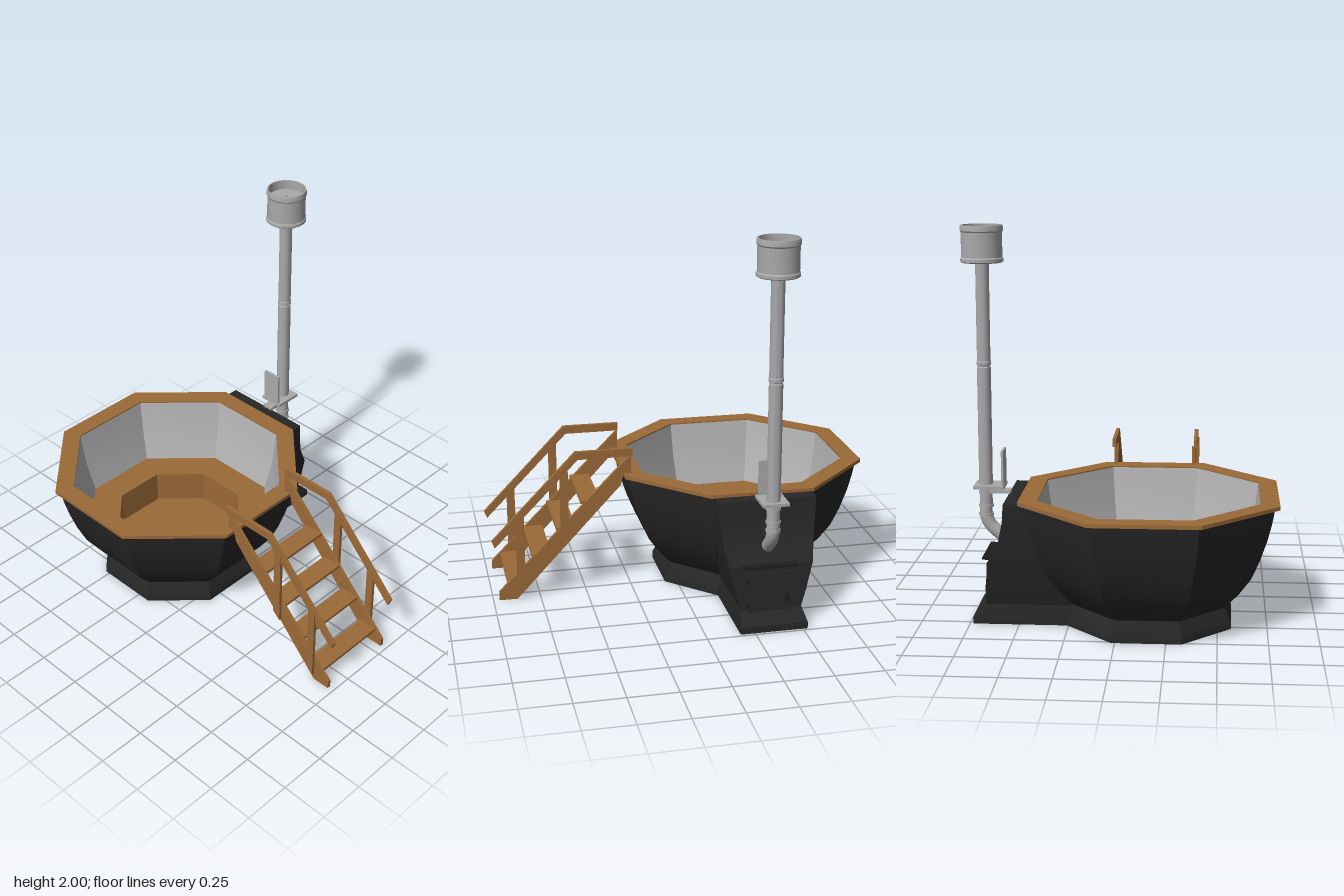
import * as THREE from 'three';
import { toCreasedNormals } from 'three/addons/utils/BufferGeometryUtils.js';

const material = (name, color) => {
  const m = new THREE.MeshStandardMaterial({ color });
  m.name = name;
  return m;
};

export function createModel() {
  const wood = material('wood', 0x9b6a38);
  const shell = material('black shell', 0x272727);
  const iron = material('dark iron', 0x1d1d1d);
  const liner = material('grey liner', 0xb4b4b4);
  const steel = material('steel', 0xa9a9a9);

  const model = new THREE.Group();
  model.name = 'hotTub';
  const CX = -0.155, CZ = -0.35;

  const add = (parent, name, geometry, mat, x = 0, y = 0, z = 0) => {
    const mesh = new THREE.Mesh(geometry, mat);
    mesh.name = name;
    mesh.position.set(x, y, z);
    parent.add(mesh);
    return mesh;
  };
  const box = (parent, name, mat, x0, x1, y0, y1, z0, z1) =>
    add(parent, name, new THREE.BoxGeometry(x1 - x0, y1 - y0, z1 - z0), mat,
      (x0 + x1) / 2, (y0 + y1) / 2, (z0 + z1) / 2);
  const group = (name) => {
    const g = new THREE.Group();
    g.name = name;
    model.add(g);
    return g;
  };

  // Eight-sided shells: profile points are [apothem, height]
  const octagon = (profile) => {
    const k = 1 / Math.cos(Math.PI / 8);
    const points = profile.map(([a, y]) => new THREE.Vector2(a * k, y));
    return toCreasedNormals(new THREE.LatheGeometry(points, 8, Math.PI / 8), 0.5);
  };
  const round = (profile, sides = 32) => toCreasedNormals(
    new THREE.LatheGeometry(profile.map(([r, y]) => new THREE.Vector2(r, y)), sides), 0.5);

  // Tub
  const tub = group('tub');
  tub.position.set(CX, 0, CZ);
  add(tub, 'outerShell', octagon([[0, 0], [0.415, 0], [0.415, 0.035], [0.38, 0.105], [0.45, 0.185],
    [0.508, 0.27], [0.55, 0.37], [0.585, 0.48], [0.607, 0.57], [0.62, 0.645]]), shell);
  add(tub, 'innerLiner', octagon([[0.55, 0.655], [0.525, 0.46], [0.485, 0.3]]), liner);
  add(tub, 'benchAndFloor', octagon([[0.487, 0.3], [0.33, 0.3], [0.33, 0.12], [0, 0.12]]), wood);
  add(tub, 'rim', octagon([[0.55, 0.643], [0.645, 0.643], [0.645, 0.662], [0.55, 0.662], [0.55, 0.643]]), wood);

  // Firebox housing lofted along the side of the tub: [height, inner x, outer x, half width]
  const sections = [[0, 0.2, 0.735, 0.175], [0.035, 0.2, 0.735, 0.175], [0.1, 0.2, 0.67, 0.157],
    [0.185, 0.27, 0.665, 0.183], [0.33, 0.35, 0.655, 0.218], [0.39, 0.38, 0.62, 0.229],
    [0.45, 0.4, 0.592, 0.238], [0.55, 0.43, 0.57, 0.25], [0.645, 0.45, 0.563, 0.256]];
  const pos = [], index = [];
  for (const [y, xi, xo, h] of sections) {
    pos.push(xi, y, CZ + h, xo, y, CZ + h, xo, y, CZ - h, xi, y, CZ - h);
  }
  for (let s = 0; s < sections.length - 1; s++) {
    for (let i = 0; i < 4; i++) {
      const a = s * 4 + i, b = s * 4 + (i + 1) % 4;
      index.push(a, b, b + 4, a, b + 4, a + 4);
    }
  }
  const top = (sections.length - 1) * 4;
  index.push(top, top + 1, top + 2, top, top + 2, top + 3, 0, 2, 1, 0, 3, 2);
  const housing = new THREE.BufferGeometry();
  housing.setAttribute('position', new THREE.Float32BufferAttribute(pos, 3));
  housing.setIndex(index);
  housing.computeVertexNormals();
  const firebox = group('firebox');
  add(firebox, 'fireboxHousing', toCreasedNormals(housing, 0.45), shell);

  // Firebox door, ledge and latch
  const door = box(firebox, 'fireDoor', shell, 0.655, 0.675, 0.09, 0.295, -0.46, -0.225);
  door.rotation.z = 0.04;
  box(firebox, 'doorLedge', iron, 0.64, 0.69, 0.325, 0.337, -0.485, -0.2);
  box(firebox, 'doorLatch', iron, 0.67, 0.682, 0.13, 0.18, -0.44, -0.422);
  const knob = add(firebox, 'latchKnob', new THREE.CylinderGeometry(0.014, 0.014, 0.014, 12), iron, 0.677, 0.155, -0.431);
  knob.rotation.z = Math.PI / 2;
  for (const y of [0.13, 0.255]) box(firebox, 'doorHinge', iron, 0.668, 0.68, y - 0.012, y + 0.012, -0.235, -0.22);

  // Chimney
  const chimney = group('chimney');
  chimney.position.set(0.686, 0, -0.345);
  add(chimney, 'flue', round([[0.035, 0.66], [0.035, 1.29], [0.031, 1.293], [0.031, 1.299], [0.037, 1.302],
    [0.037, 1.318], [0.034, 1.322], [0.034, 1.83]], 24), steel);
  add(chimney, 'chimneyCap', round([[0, 1.815], [0.1, 1.815], [0.107, 1.82], [0.107, 1.835], [0.102, 1.842],
    [0.102, 1.965], [0.107, 1.972], [0.107, 1.986], [0.104, 2], [0.097, 2], [0.097, 1.95], [0, 1.95]]), steel);
  add(chimney, 'capPin', new THREE.CylinderGeometry(0.005, 0.005, 0.012, 8), steel, 0, 1.955, 0);
  const elbow = new THREE.CatmullRomCurve3([[0, 0.67], [0, 0.6], [0, 0.52], [-0.02, 0.475],
    [-0.06, 0.435], [-0.12, 0.385]].map(([x, y]) => new THREE.Vector3(x, y, 0)));
  add(chimney, 'elbowPipe', new THREE.TubeGeometry(elbow, 20, 0.033, 20), steel);
  for (const y of [0.645, 0.575, 0.53]) {
    add(chimney, 'pipeCollar', new THREE.CylinderGeometry(0.038, 0.038, 0.012, 24), steel, 0, y, 0);
  }

  // Sliding damper
  box(chimney, 'damperFrame', steel, -0.1, 0.055, 0.672, 0.688, -0.068, 0.068);
  box(chimney, 'damperPlate', steel, -0.098, -0.086, 0.68, 0.868, -0.053, 0.053);
  box(chimney, 'damperSupport', steel, -0.13, 0.01, 0.643, 0.66, -0.03, 0.03);

  // Ladder: side profiles are [z, y], mirrored about the ladder's middle
  const ladder = group('ladder');
  const side = (name, profile, x0, x1) => {
    const shape = new THREE.Shape(profile.map(([z, y]) => new THREE.Vector2(z, y)));
    const geometry = new THREE.ExtrudeGeometry(shape, { depth: x1 - x0, bevelEnabled: false });
    add(ladder, name, geometry.rotateY(-Math.PI / 2), wood, x1);
  };
  const LX = -0.15;
  for (const s of [-1, 1]) {
    const part = (name, profile, a, b) =>
      side(name, profile, LX + Math.min(s * a, s * b), LX + Math.max(s * a, s * b));
    part('stringer', [[0.872, 0], [0.968, 0], [0.968, 0.045], [0.255, 0.765], [0.255, 0.66], [0.3, 0.643], [0.31, 0.6]],
      0.203, 0.222);
    part('handrail', [[0.25, 0.757], [0.54, 0.757], [0.985, 0.3], [1, 0.338], [0.553, 0.8], [0.25, 0.8]],
      0.212, 0.232);
    part('rearPost', [[0.593, 0.31], [0.636, 0.27], [0.636, 0.7], [0.593, 0.745]], 0.221, 0.238);
    part('frontPost', [[0.829, 0.08], [0.872, 0.04], [0.872, 0.45], [0.829, 0.495]], 0.221, 0.238);
  }
  for (let i = 0; i < 4; i++) {
    const y = 0.088 + i * 0.141, z = 0.87 - i * 0.133;
    box(ladder, 'step', wood, LX - 0.21, LX + 0.21, y - 0.008, y + 0.008, z - 0.053, z + 0.053);
  }
  return model;
}
